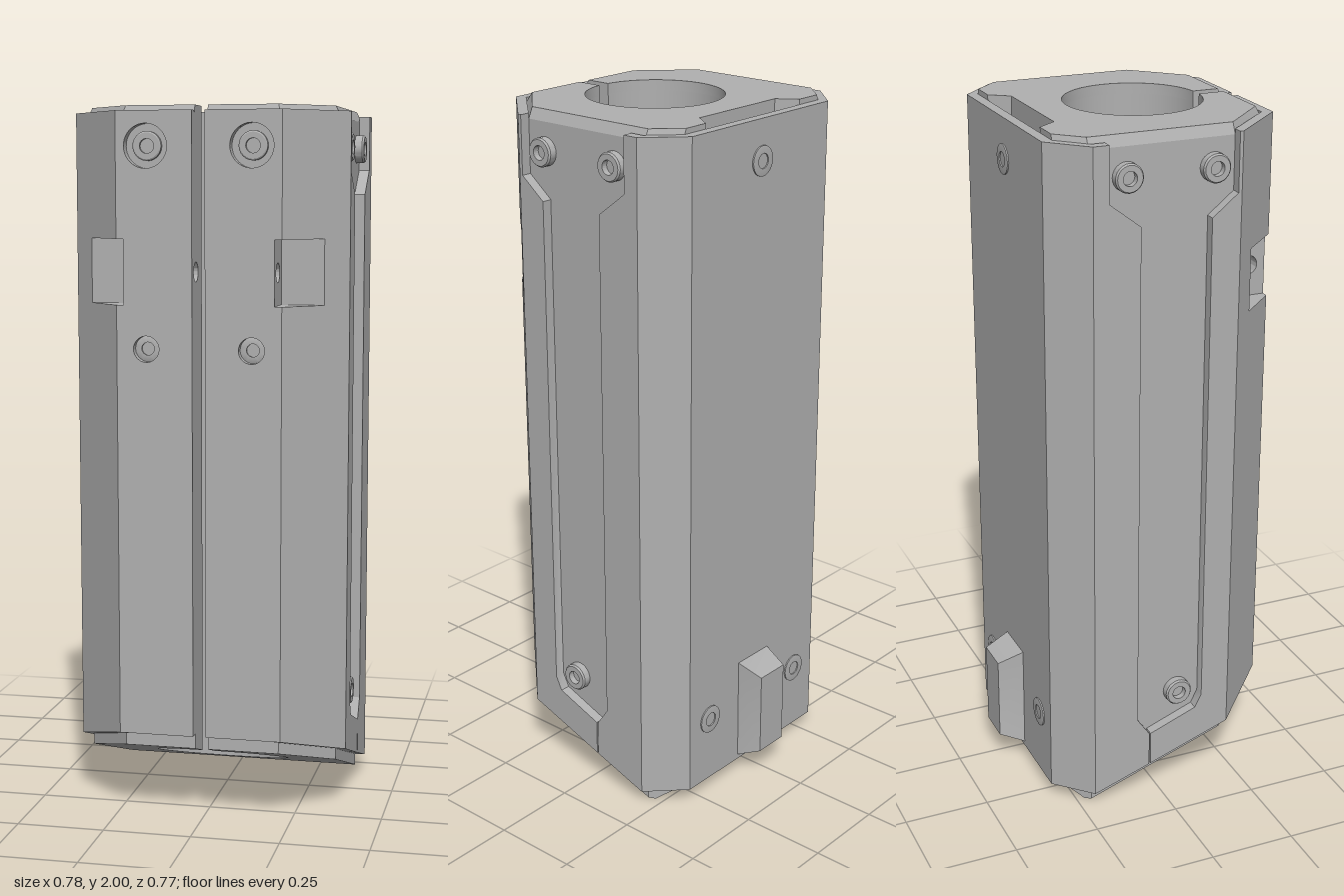
import * as THREE from 'three';
import { toCreasedNormals } from 'three/addons/utils/BufferGeometryUtils.js';

const SLOT = 0.018, BORE = 0.195, BORE_Z = 0.07;

export function createModel() {
  const model = new THREE.Group();
  const metal = new THREE.MeshStandardMaterial({ color: 0xb0b0b0 });
  metal.name = 'grey metal';

  function add(name, geo) {
    const mesh = new THREE.Mesh(toCreasedNormals(geo, 0.5), metal);
    mesh.name = name;
    model.add(mesh);
    return mesh;
  }
  function polygon(points) {
    return new THREE.Shape(points.map(([a, b]) => new THREE.Vector2(a, b)));
  }
  function drill(shape, x, y, r) {
    shape.holes.push(new THREE.Path().absarc(x, y, r, 0, Math.PI * 2, true));
    return shape;
  }
  const extrude = (shape, depth) =>
    new THREE.ExtrudeGeometry(shape, { depth, bevelEnabled: false, curveSegments: 32 });
  const flip = (points) => points.map(([a, b]) => [-a, b]).reverse();

  // Changes the vertices of a geometry by a rule
  function reshape(geo, rule) {
    const p = geo.attributes.position;
    const v = new THREE.Vector3();
    for (let i = 0; i < p.count; i++) {
      v.fromBufferAttribute(p, i);
      rule(v);
      p.setXYZ(i, v.x, v.y, v.z);
    }
    return geo;
  }

  // Upright prism from an (x, z) shape; its foot may follow a slope
  function prism(shape, y0, y1, foot) {
    const geo = extrude(shape, y1 - y0).rotateX(-Math.PI / 2).translate(0, y0, 0);
    return foot ? reshape(geo, (v) => { if (v.y < y0 + 1e-4) v.y = foot(v.z); }) : geo;
  }
  const plan = (points) => polygon(points.map(([x, z]) => [x, -z]));
  // Sideways prism from a (z, y) shape
  const sideways = (shape, x0, x1) =>
    extrude(shape, x1 - x0).rotateY(Math.PI / 2).translate(x0, 0, 0);
  const profile = (points) => polygon(points.map(([z, y]) => [-z, y]));

  // Sloping undersides
  const coreFoot = (z) => (z > -0.225 ? 0.356 : -0.73) * (z + 0.225);
  const shellFoot = (z) => Math.max(0.04, 0.25 - 0.356 * (0.385 - z));

  // Core section: right-hand outline mirrored, with bore and clamping slot
  function coreSection(right) {
    const shape = plan([...right, ...flip(right)]);
    const d = Math.asin(SLOT / BORE);
    shape.absarc(0, -BORE_Z, BORE, -Math.PI / 2 - d, -Math.PI / 2 + d, true);
    return shape;
  }
  const back = [[0.36, -0.21], [0.345, -0.225]];
  const full = [[SLOT, 0.355], [0.22, 0.355], [0.36, 0.205], ...back];
  const pocketed = [[SLOT, 0.28], [0.29, 0.28], [0.36, 0.205], ...back];
  const taper = (y) => (v) => {
    if (v.y < y - 1e-4) return;
    if (Math.abs(v.x) > 0.201) v.x *= 0.96;
    if (v.z > 0.3) v.z *= 0.96;
  };
  add('lowerCore', prism(coreSection(full), 0, 1.46, coreFoot));
  add('pocketCore', prism(coreSection(pocketed), 1.46, 1.64));
  add('upperCore', prism(coreSection(full), 1.64, 1.97));
  add('coreCap', reshape(prism(coreSection(full), 1.97, 2), taper(2)));

  // Rear of the core, with a notch at the top
  const rear = [[0.345, -0.225], [0.29, -0.28]];
  add('coreRear', prism(plan([...rear, ...flip(rear)]), 0, 1.88, coreFoot));
  const corner = [...rear, [0.2, -0.28], [0.16, -0.225]];
  for (const c of [corner, flip(corner)]) {
    add('notchCorner', prism(plan(c), 1.88, 1.97));
    add('notchCornerCap', reshape(prism(plan(c), 1.97, 2), taper(2)));
  }

  // Back shell
  const outer = [[0.39, -0.21], [0.29, -0.31]];
  const inner = [[-0.36, -0.205], [-0.285, -0.28]];
  add('backShell', prism(plan([...outer, ...flip(outer), ...inner, ...flip(inner)]), 0, 1.985, shellFoot));

  // Front shell corners, cut away at the pockets
  const chamfer = [[0.21, 0.355], [0.21, 0.385], [0.23, 0.385], [0.39, 0.215], [0.36, 0.205], [0.22, 0.355]];
  const cutChamfer = [[0.29, 0.28], [0.329, 0.28], [0.39, 0.215], [0.36, 0.205]];
  for (const m of [(p) => p, flip]) {
    add('frontCornerLower', prism(plan(m(chamfer)), 0, 1.46, shellFoot));
    add('frontCornerPocket', prism(plan(m(cutChamfer)), 1.46, 1.64));
    add('frontCornerUpper', prism(plan(m(chamfer)), 1.64, 1.985));
  }

  // Front plates with screw holes, and clamp blocks between the pockets
  const rect = (x0, x1, y0, y1) => polygon([[x0, y0], [x1, y0], [x1, y1], [x0, y1]]);
  for (const s of [1, -1]) {
    const x0 = s > 0 ? SLOT : -0.21, x1 = s > 0 ? 0.21 : -SLOT;
    const lower = drill(rect(x0, x1, 0.25, 1.46), s * 0.147, 1.34, 0.036);
    const upper = drill(rect(x0, x1, 1.64, 1.985), s * 0.147, 1.89, 0.06);
    add('frontPlateLower', extrude(lower, 0.03).translate(0, 0, 0.355));
    add('frontPlateUpper', extrude(upper, 0.03).translate(0, 0, 0.355));
    const block = drill(rect(-0.385, -0.28, 1.46, 1.64), -0.335, 1.55, 0.027);
    add('clampBlock', sideways(block, x0, x1));
  }

  // Side plates leaving a recessed channel
  const frontSide = [[0.215, 1.985], [0.205, 1.985], [0.205, 1.82], [0.13, 1.76], [0.13, 0.3],
    [0.11, 0.26], [-0.033, 0.205], [-0.033, shellFoot(-0.033)], [0.215, shellFoot(0.215)]];
  const backSide = [[-0.21, 1.985], [-0.165, 1.985], [-0.165, 1.83], [-0.075, 1.76], [-0.075, 0.26],
    [-0.037, 0.205], [-0.037, shellFoot(-0.037)], [-0.21, 0.04]];
  for (const x0 of [0.36, -0.39]) {
    add('frontSidePlate', sideways(profile(frontSide), x0, x0 + 0.03));
    add('backSidePlate', sideways(profile(backSide), x0, x0 + 0.03));
  }

  // Tapered lug at the back
  const lug = profile([[-0.3, 0.37], [-0.31, 0.37], [-0.385, 0.34], [-0.385, 0.09], [-0.31, 0.055], [-0.3, 0.055]]);
  add('backLug', reshape(sideways(lug, -0.068, 0.068), (v) => {
    if (v.z < -0.35) v.x *= 0.78;
  }));

  // Screws with round sockets; pos is the centre of the head face
  function screw(name, pos, r, h, rx, rz = 0) {
    const s = r * 0.5, d = h * 0.7;
    const pts = [[r, -h], [r, -h * 0.2], [r * 0.9, 0], [s, 0], [s, -d], [0, -d]];
    const geo = new THREE.LatheGeometry(pts.map(([a, b]) => new THREE.Vector2(a, b)), 24);
    const mesh = add(name, geo);
    mesh.rotation.set(rx, 0, rz);
    mesh.position.set(...pos);
  }
  const Q = Math.PI / 2;
  for (const s of [1, -1]) {
    for (const [z, y] of [[0.145, 1.89], [-0.105, 1.89], [0.06, 0.32]])
      screw('sideScrew', [s * 0.386, y, z], 0.04, 0.026, 0, -s * Q);
    screw('frontTopScrew', [s * 0.147, 1.89, 0.368], 0.04, 0.013, Q);
    screw('frontMiddleScrew', [s * 0.147, 1.34, 0.364], 0.036, 0.009, Q);
    screw('backLowerScrew', [s * 0.2, 0.24, -0.315], 0.042, 0.005, -Q);
  }
  screw('backUpperScrew', [0, 1.87, -0.315], 0.042, 0.005, -Q);
  screw('boreScrew', [0, 0.125, -0.105], 0.048, 0.025, Q);
  screw('borePin', [0, 1.87, -0.121], 0.022, 0.005, Q);

  return model;
}
